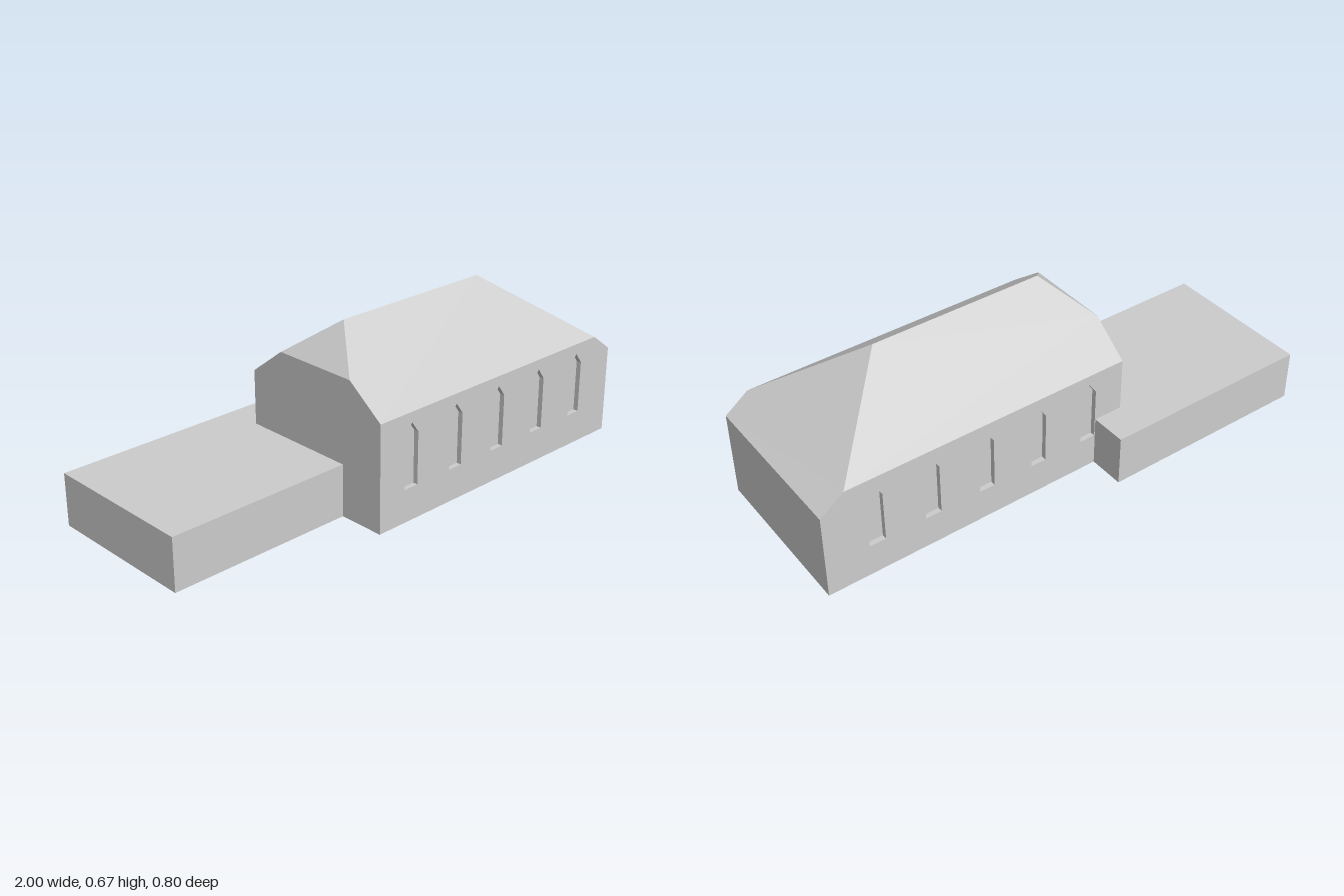
import * as THREE from 'three';

const X0 = -0.26, X1 = 1;         // hall ends
const H = 0.3275, ZC = 0.0725;    // hall half depth and centre line
const EAVE = 0.42, LOW = 0.35, RIDGE = 0.67;
const HIP_X = 0.906;              // where the long hip meets the eave
const CLIP_Y = 0.535, CLIP_Z = 0.177; // clipped gable corners
const RECESS = 0.02;

const stone = new THREE.MeshStandardMaterial({ color: 0xcccccc });
stone.name = 'pale grey';

// Flat polygons, each given as counter-clockwise corners, fanned into triangles
function polygons(faces) {
  const pos = [];
  for (const f of faces)
    for (let i = 1; i < f.length - 1; i++) pos.push(...f[0], ...f[i], ...f[i + 1]);
  const g = new THREE.BufferGeometry();
  g.setAttribute('position', new THREE.Float32BufferAttribute(pos, 3));
  g.computeVertexNormals();
  return g;
}

function add(parent, name, geometry) {
  const mesh = new THREE.Mesh(geometry, stone);
  mesh.name = name;
  parent.add(mesh);
  return mesh;
}

const toPoints = (pts) => pts.map(([x, y]) => new THREE.Vector2(x, y));

// Pointed window outline, counter-clockwise
const windowOutline = (cx) => [
  [cx - 0.032, 0.13], [cx + 0.032, 0.13], [cx + 0.032, 0.335], [cx, 0.38], [cx - 0.032, 0.335],
];

// Long wall with five recessed windows; s = 1 front, s = -1 back
function longWall(s) {
  const wall = new THREE.Group();
  wall.name = s > 0 ? 'frontWall' : 'backWall';
  const shape = new THREE.Shape(toPoints(
    [[X0, 0], [X1, 0], [X1, LOW], [HIP_X, EAVE], [X0, EAVE]].map(([x, y]) => [s * x, y])));
  const recesses = [];
  for (let i = 0; i < 5; i++) {
    const pts = windowOutline(s * (-0.108 + i * 0.2263));
    shape.holes.push(new THREE.Path(toPoints(pts)));
    // reveals around the opening, then the back panel
    pts.forEach(([x, y], k) => {
      const [u, v] = pts[(k + 1) % pts.length];
      recesses.push([[x, y, 0], [u, v, 0], [u, v, -RECESS], [x, y, -RECESS]]);
    });
    recesses.push(pts.map(([x, y]) => [x, y, -RECESS]));
  }
  add(wall, 'wallFace', new THREE.ShapeGeometry(shape));
  add(wall, 'windowRecesses', polygons(recesses));
  wall.position.z = s * H;
  if (s < 0) wall.rotation.y = Math.PI;
  return wall;
}

export function createModel() {
  const model = new THREE.Group();
  model.name = 'chapel';

  const hall = new THREE.Group();
  hall.name = 'hall';
  hall.position.z = ZC;
  model.add(hall);
  hall.add(longWall(1), longWall(-1));

  // End walls and floor
  add(hall, 'endWalls', polygons([
    [[X1, 0, H], [X1, 0, -H], [X1, LOW, -H], [X1, LOW, H]],
    [[X0, 0, -H], [X0, 0, H], [X0, EAVE, H], [X0, CLIP_Y, CLIP_Z], [X0, CLIP_Y, -CLIP_Z], [X0, EAVE, -H]],
  ]));
  add(hall, 'floor', polygons([[[X0, 0, -H], [X1, 0, -H], [X1, 0, H], [X0, 0, H]]]));

  // Roof: two long slopes, a deep hip and a small clipped gable
  const slope = [[X0, EAVE, H], [HIP_X, EAVE, H], [0.575, RIDGE, 0], [-0.12, RIDGE, 0], [X0, CLIP_Y, CLIP_Z]];
  add(hall, 'roof', polygons([
    slope,
    slope.map(([x, y, z]) => [x, y, -z]).reverse(),
    [[X1, LOW, H], [X1, LOW, -H], [HIP_X, EAVE, -H], [0.575, RIDGE, 0], [HIP_X, EAVE, H]],
    [[X0, CLIP_Y, -CLIP_Z], [X0, CLIP_Y, CLIP_Z], [-0.12, RIDGE, 0]],
  ]));

  // Low flat annex wrapping the back corner of the hall (drawn in plan, y = -z)
  const plan = new THREE.Shape(toPoints(
    [[-1, -0.215], [X0, -0.215], [X0, 0.255], [-0.143, 0.255], [-0.143, 0.4], [-1, 0.4]]));
  const annex = new THREE.ExtrudeGeometry(plan, { depth: 0.205, bevelEnabled: false });
  add(model, 'annex', annex.rotateX(-Math.PI / 2));

  return model;
}
